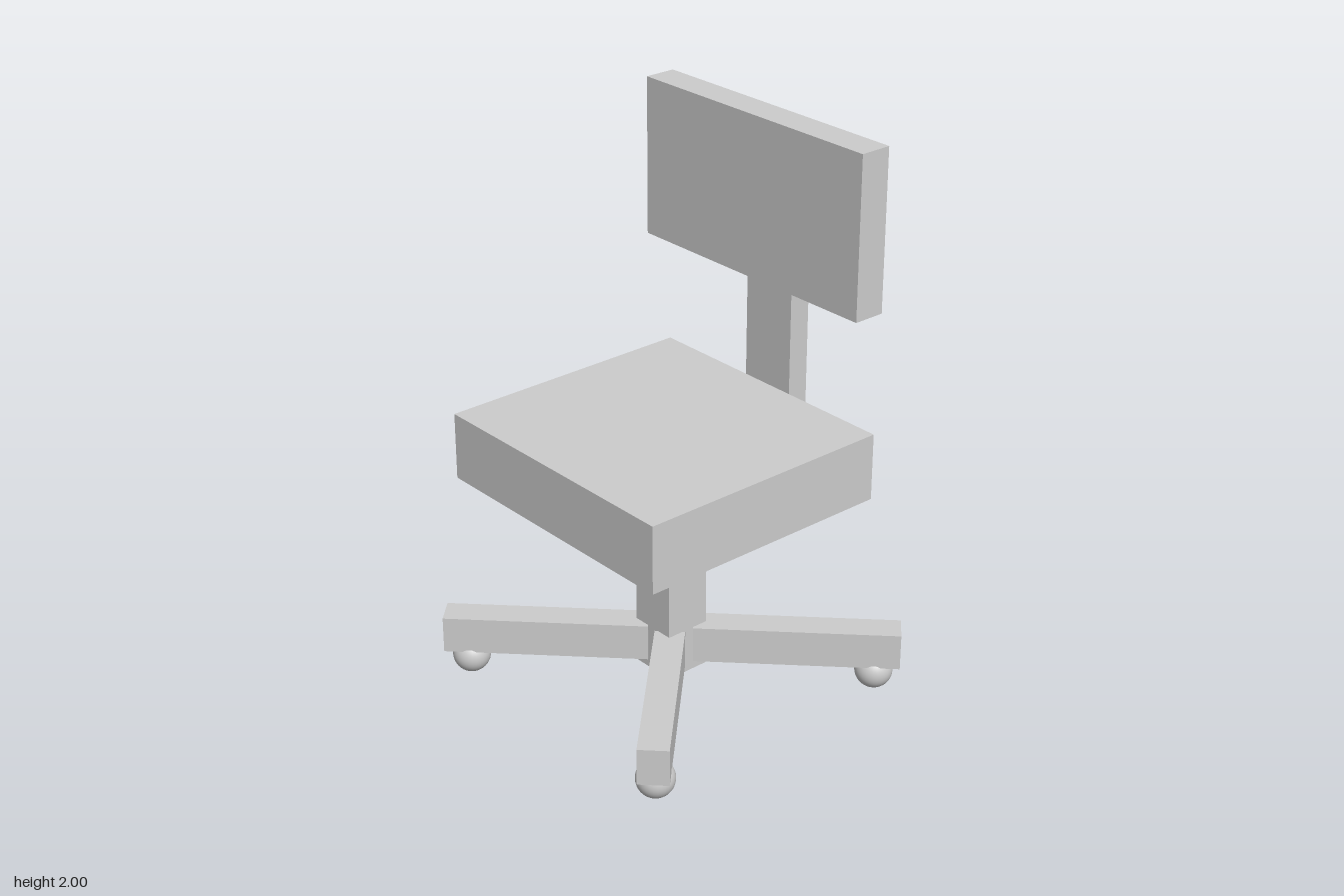
import * as THREE from 'three';

export function createModel() {
  const chair = new THREE.Group();
  chair.name = 'officeChair';
  const material = new THREE.MeshStandardMaterial({ color: 0xcccccc });

  // Box given by its extents along each axis
  function slab(name, [x0, x1], [y0, y1], [z0, z1], parent = chair) {
    const mesh = new THREE.Mesh(new THREE.BoxGeometry(x1 - x0, y1 - y0, z1 - z0), material);
    mesh.position.set((x0 + x1) / 2, (y0 + y1) / 2, (z0 + z1) / 2);
    mesh.name = name;
    parent.add(mesh);
  }

  // Seat, backrest and the bar joining them
  slab('seat', [-0.512, 0.512], [0.765, 1.005], [-0.435, 0.518]);
  slab('backrest', [-0.512, 0.512], [1.435, 2], [-0.447, -0.332]);
  slab('backSupport', [-0.109, 0.107], [0.81, 1.742], [-0.515, -0.435]);

  // Central post
  slab('post', [-0.088, 0.086], [0.066, 0.765], [-0.083, 0.085]);

  // Four diagonal legs, each with a ball caster
  const casterGeometry = new THREE.SphereGeometry(0.067, 32, 20);
  for (let i = 0; i < 4; i++) {
    const arm = new THREE.Group();
    arm.name = 'legAssembly' + (i + 1);
    arm.rotation.y = Math.PI / 4 + (i * Math.PI) / 2;
    slab('leg', [0.078, 0.795], [0.1, 0.233], [-0.053, 0.053], arm);

    const caster = new THREE.Mesh(casterGeometry, material);
    caster.name = 'caster';
    caster.position.set(0.706, 0.067, 0);
    arm.add(caster);
    chair.add(arm);
  }

  return chair;
}
